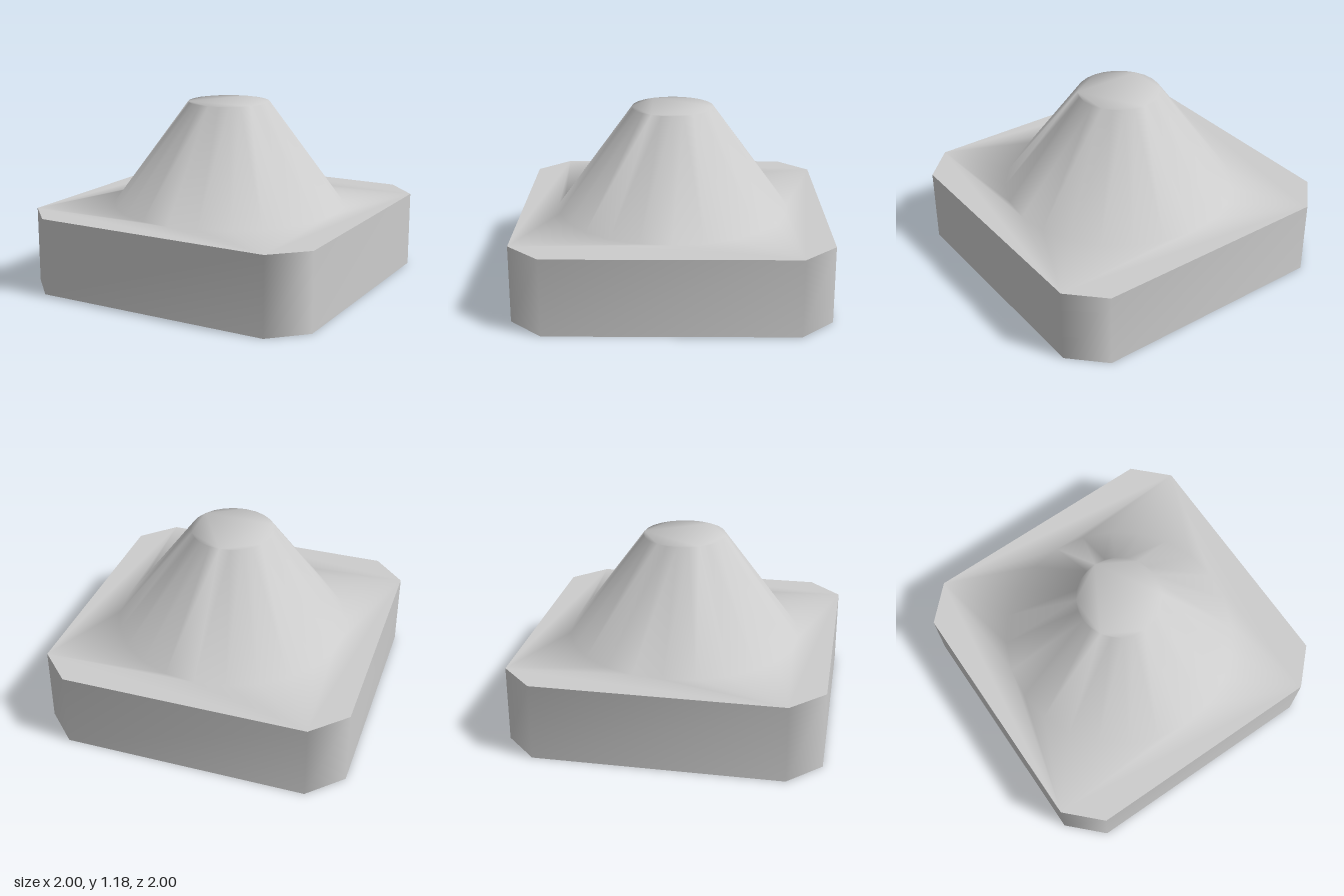
import * as THREE from 'three';

const SIDES = 24;
const BASE_TOP = 0.5, TOP = 1.18;

// Outlines run counter-clockwise as seen from above (plan y is -z)
const circle = (r) => Array.from({ length: SIDES }, (_, i) => {
  const a = (i / SIDES) * Math.PI * 2;
  return new THREE.Vector2(Math.cos(a) * r, Math.sin(a) * r);
});
const octagon = [[1, -0.79], [1, 0.79], [0.79, 1], [-0.79, 1], [-1, 0.79], [-1, -0.79], [-0.79, -1], [0.79, -1]]
  .map(([x, y]) => new THREE.Vector2(x, y));

// Collects rings of shared points, so that normals blend across joined faces
class Surface {
  positions = [];
  index = [];
  ring(outline, y) {
    const start = this.positions.length / 3;
    outline.forEach((p) => this.positions.push(p.x, y, -p.y));
    return { start, outline, ids: outline.map((_, i) => start + i) };
  }
  wall(low, high) {
    const n = low.ids.length;
    for (let i = 0; i < n; i++) {
      const j = (i + 1) % n;
      this.index.push(low.ids[i], low.ids[j], high.ids[j], low.ids[i], high.ids[j], high.ids[i]);
    }
  }
  flat(outer, hole, down = false) {
    const holePts = hole ? [[...hole.outline].reverse()] : [];
    const ids = hole ? [...outer.ids, ...[...hole.ids].reverse()] : outer.ids;
    THREE.ShapeUtils.triangulateShape([...outer.outline], holePts).forEach(([a, b, c]) => {
      if (down) this.index.push(ids[a], ids[c], ids[b]);
      else this.index.push(ids[a], ids[b], ids[c]);
    });
  }
  mesh(name, material) {
    const g = new THREE.BufferGeometry();
    g.setAttribute('position', new THREE.Float32BufferAttribute(this.positions, 3));
    g.setIndex(this.index);
    g.computeVertexNormals();
    const m = new THREE.Mesh(g, material);
    m.name = name;
    return m;
  }
}

export function createModel() {
  const grey = new THREE.MeshStandardMaterial({ color: 0xcccccc });
  grey.name = 'light grey';
  const group = new THREE.Group();
  group.name = 'coneOnBase';

  // Upright sides of the base, softly shaded round the cut corners
  const sides = new Surface();
  sides.wall(sides.ring(octagon, 0), sides.ring(octagon, BASE_TOP));
  group.add(sides.mesh('baseSides', grey));

  // Underside
  const bottom = new Surface();
  bottom.flat(bottom.ring(octagon, 0), null, true);
  group.add(bottom.mesh('baseBottom', grey));

  // Base top, truncated cone and flat cap as one smooth skin
  const skin = new Surface();
  const edge = skin.ring(octagon, BASE_TOP);
  const foot = skin.ring(circle(0.77), BASE_TOP);
  const rim = skin.ring(circle(0.27), TOP);
  skin.flat(edge, foot);
  skin.wall(foot, rim);
  skin.flat(rim);
  group.add(skin.mesh('baseTopAndCone', grey));

  return group;
}
